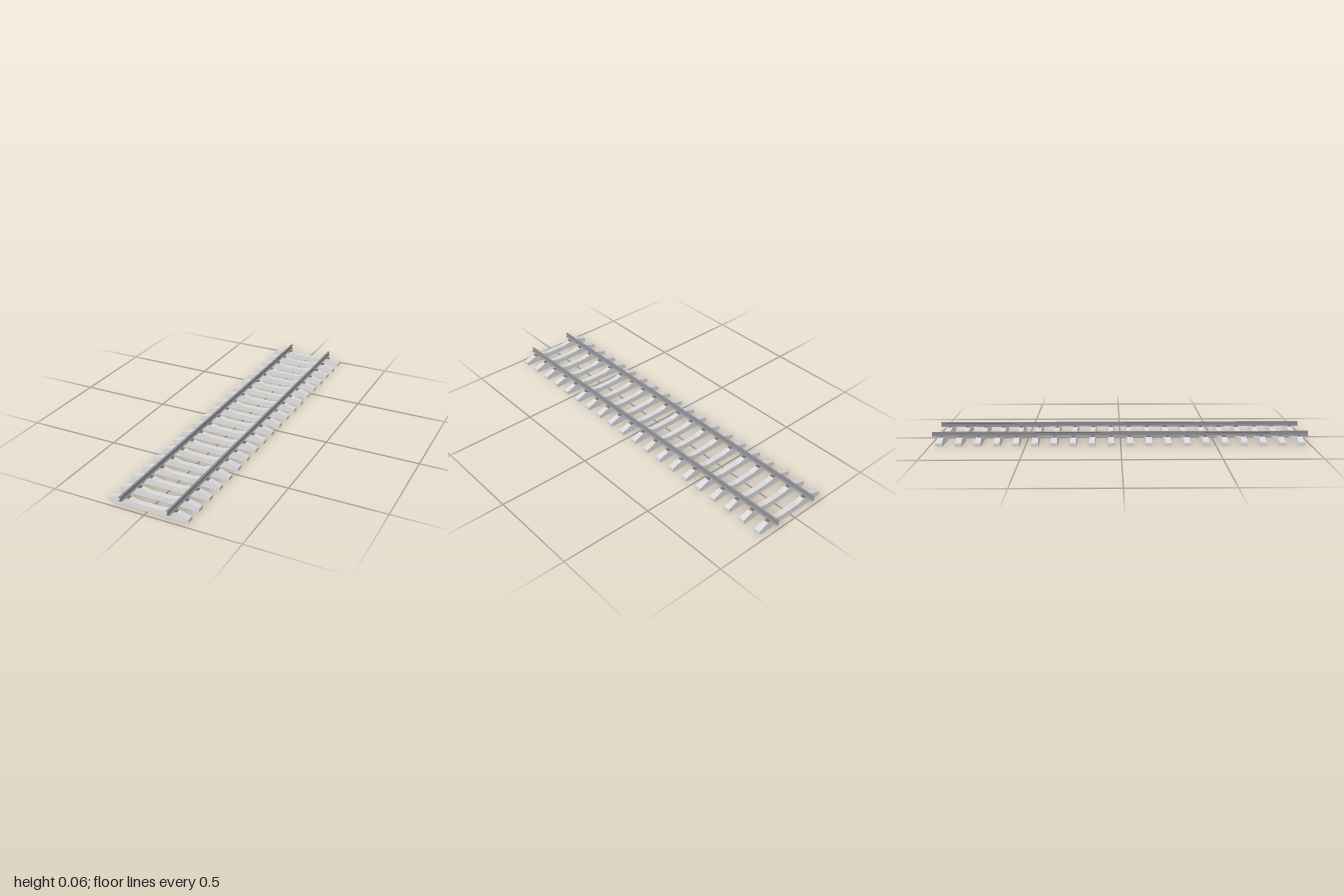
import * as THREE from 'three';

const concrete = new THREE.MeshStandardMaterial({ color: 0xd8d8d8 });
concrete.name = 'concrete';
const steel = new THREE.MeshStandardMaterial({ color: 0x8c8c91 });
steel.name = 'railSteel';
const iron = new THREE.MeshStandardMaterial({ color: 0x7c7c80 });
iron.name = 'fastenerIron';

const RAIL_X = 0.127, SEAT_Y = 0.035, COUNT = 20, PITCH = 0.1;

// Sleeper lofted from trapezoid sections: x, top height, bottom half width, top half width
function sleeperGeometry() {
  const half = [
    [0.06, 0.026, 0.018, 0.0145],
    [0.1, 0.035, 0.019, 0.0145],
    [0.16, 0.035, 0.019, 0.0145],
    [0.215, 0.018, 0.019, 0.017],
  ];
  const sections = [...half.map(([x, ...r]) => [-x, ...r]).reverse(), ...half];
  const rings = sections.map(([x, h, b, t]) => [[x, 0, b], [x, 0, -b], [x, h, -t], [x, h, t]]);
  const pos = [];
  const quad = (a, b, c, d) => pos.push(...a, ...b, ...c, ...a, ...c, ...d);
  for (let i = 0; i < rings.length - 1; i++) {
    for (let k = 0; k < 4; k++) {
      const n = (k + 1) % 4;
      quad(rings[i][k], rings[i][n], rings[i + 1][n], rings[i + 1][k]);
    }
  }
  const first = rings[0], last = rings[rings.length - 1];
  quad(first[3], first[2], first[1], first[0]);
  quad(last[0], last[1], last[2], last[3]);
  const g = new THREE.BufferGeometry();
  g.setAttribute('position', new THREE.Float32BufferAttribute(pos, 3));
  g.computeVertexNormals();
  return g;
}

// Mirrored rail section: foot, web and head
function railGeometry() {
  const right = [
    [0.009, 0], [0.009, 0.0012], [0.0028, 0.004], [0.0013, 0.008], [0.0013, 0.019],
    [0.0056, 0.021], [0.0056, 0.0255],
  ];
  const outline = [...right, ...right.map(([x, y]) => [-x, y]).reverse()];
  const shape = new THREE.Shape(outline.map(([x, y]) => new THREE.Vector2(x, y)));
  return new THREE.ExtrudeGeometry(shape, { depth: 2, bevelEnabled: false }).translate(0, 0, -1);
}

export function createModel() {
  const model = new THREE.Group();
  model.name = 'railwayTrack';

  const add = (parent, name, geometry, material, x, y, z) => {
    const mesh = new THREE.Mesh(geometry, material);
    mesh.name = name;
    mesh.position.set(x, y, z);
    parent.add(mesh);
  };

  const sleeper = sleeperGeometry();
  const rail = railGeometry();
  const plate = new THREE.BoxGeometry(0.048, 0.002, 0.024);
  const clip = new THREE.BoxGeometry(0.006, 0.003, 0.016);
  const bolt = new THREE.CylinderGeometry(0.0018, 0.0024, 0.008, 6);
  const screw = new THREE.CylinderGeometry(0.002, 0.003, 0.004, 6);

  // Rails
  for (const s of [-1, 1]) {
    add(model, s > 0 ? 'leftRail' : 'rightRail', rail, steel, s * RAIL_X, SEAT_Y, 0);
  }

  // Sleepers with a base plate, clips, bolts and screws under each rail
  for (let i = 0; i < COUNT; i++) {
    const tie = new THREE.Group();
    tie.name = 'sleeperUnit';
    tie.position.z = (i - (COUNT - 1) / 2) * PITCH;
    model.add(tie);
    add(tie, 'sleeper', sleeper, concrete, 0, 0, 0);
    for (const s of [-1, 1]) {
      const x = s * RAIL_X;
      add(tie, 'basePlate', plate, iron, x, SEAT_Y + 0.0006, 0);
      for (const d of [-1, 1]) {
        add(tie, 'railClip', clip, iron, x + d * 0.0115, SEAT_Y + 0.003, 0);
        add(tie, 'clipBolt', bolt, iron, x + d * 0.013, SEAT_Y + 0.0045, 0);
        for (const e of [-1, 1]) {
          add(tie, 'plateScrew', screw, iron, x + d * 0.02, SEAT_Y + 0.0032, e * 0.007);
        }
      }
    }
  }
  return model;
}
